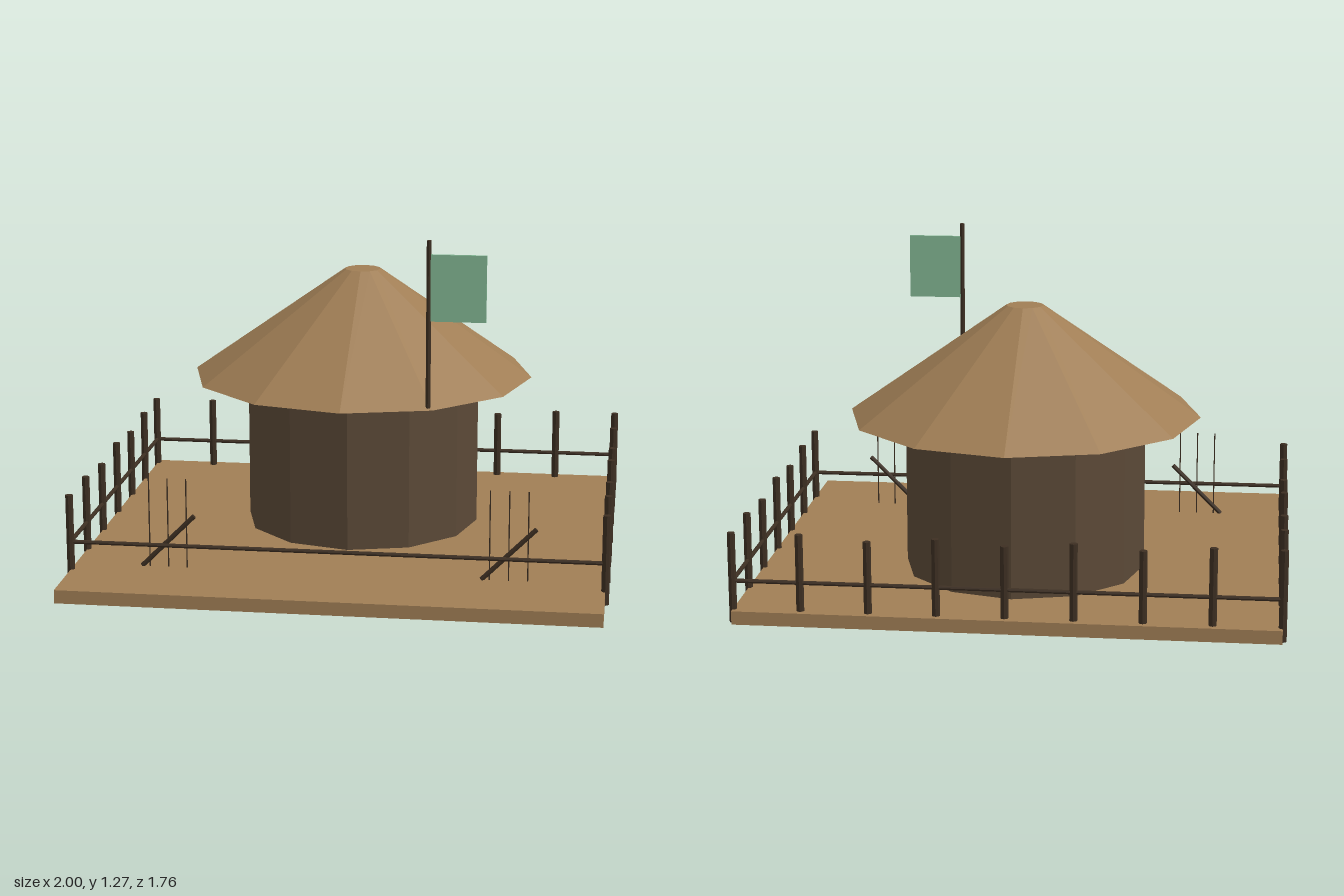
import * as THREE from 'three';

export function createModel() {
  const model = new THREE.Group();
  const material = (name, color) => {
    const m = new THREE.MeshStandardMaterial({ color, flatShading: true });
    m.name = name;
    return m;
  };
  const straw = material('straw', 0xa07e55);
  const wallWood = material('wall wood', 0x5b4937);
  const darkWood = material('dark wood', 0x3d2f22);
  const green = material('flag green', 0x82b693);

  const add = (name, geometry, mat, x, y, z, parent = model) => {
    const mesh = new THREE.Mesh(geometry, mat);
    mesh.name = name;
    mesh.position.set(x, y, z);
    parent.add(mesh);
    return mesh;
  };
  // upright rod from y0 to y1
  const rod = (name, r, y0, y1, x, z, parent, sides = 8) =>
    add(name, new THREE.CylinderGeometry(r, r, y1 - y0, sides), darkWood, x, (y0 + y1) / 2, z, parent);

  // ground slab
  add('groundSlab', new THREE.BoxGeometry(1.97, 0.05, 1.76), straw, 0, 0.025, 0);

  // twelve-sided hut
  const hutZ = -0.18;
  add('hutWall', new THREE.CylinderGeometry(0.457, 0.457, 0.59, 12), wallWood, 0, 0.345, hutZ);
  add('hutRoof', new THREE.CylinderGeometry(0.07, 0.665, 0.417, 12), straw, 0, 0.8475, hutZ);

  // flag on the roof edge
  const flag = new THREE.Group();
  flag.name = 'flag';
  model.add(flag);
  rod('flagPole', 0.009, 0.645, 1.27, 0.315, 0.385, flag);
  add('flagCloth', new THREE.BoxGeometry(0.207, 0.247, 0.012), green, 0.422, 1.0955, 0.385, flag);

  // fence: posts on the back and both sides, rails all round
  const fence = new THREE.Group();
  fence.name = 'fence';
  model.add(fence);
  const sideX = 0.985, backZ = -0.845, frontZ = 0.632, gap = 0.24625;
  const postTop = (i, last) => (i % 2 === 0 && i > 0 && i < last ? 0.317 : 0.335);
  for (let i = 0; i <= 8; i++) {
    rod('backPost', 0.0145, 0, postTop(i, 8), -sideX + i * gap, backZ, fence);
  }
  for (const s of [-1, 1]) {
    for (let i = 1; i <= 6; i++) {
      rod('sidePost', 0.0145, 0, postTop(i, 6), s * sideX, backZ + i * gap, fence);
    }
    const rail = rod('sideRail', 0.008, 0, frontZ - backZ, s * sideX, (frontZ + backZ) / 2, fence);
    rail.rotation.x = Math.PI / 2;
    rail.position.y = 0.155;
  }
  for (const [name, z] of [['frontRail', frontZ], ['backRail', backZ]]) {
    const rail = rod(name, 0.008, 0, sideX * 2, 0, z, fence);
    rail.rotation.z = Math.PI / 2;
    rail.position.y = 0.155;
  }

  // racks: a slanted bar with three thin stakes
  for (const x of [-0.632, 0.632]) {
    const rack = new THREE.Group();
    rack.name = 'stakeRack';
    model.add(rack);
    const bar = rod('slantedBar', 0.009, 0, 0.28, x, 0.56, rack);
    bar.position.y = 0.15;
    bar.rotation.z = -Math.PI / 4;
    for (const dx of [-0.07, 0, 0.07]) rod('stake', 0.0025, 0.05, 0.39, x + dx, 0.56, rack, 6);
  }
  return model;
}
